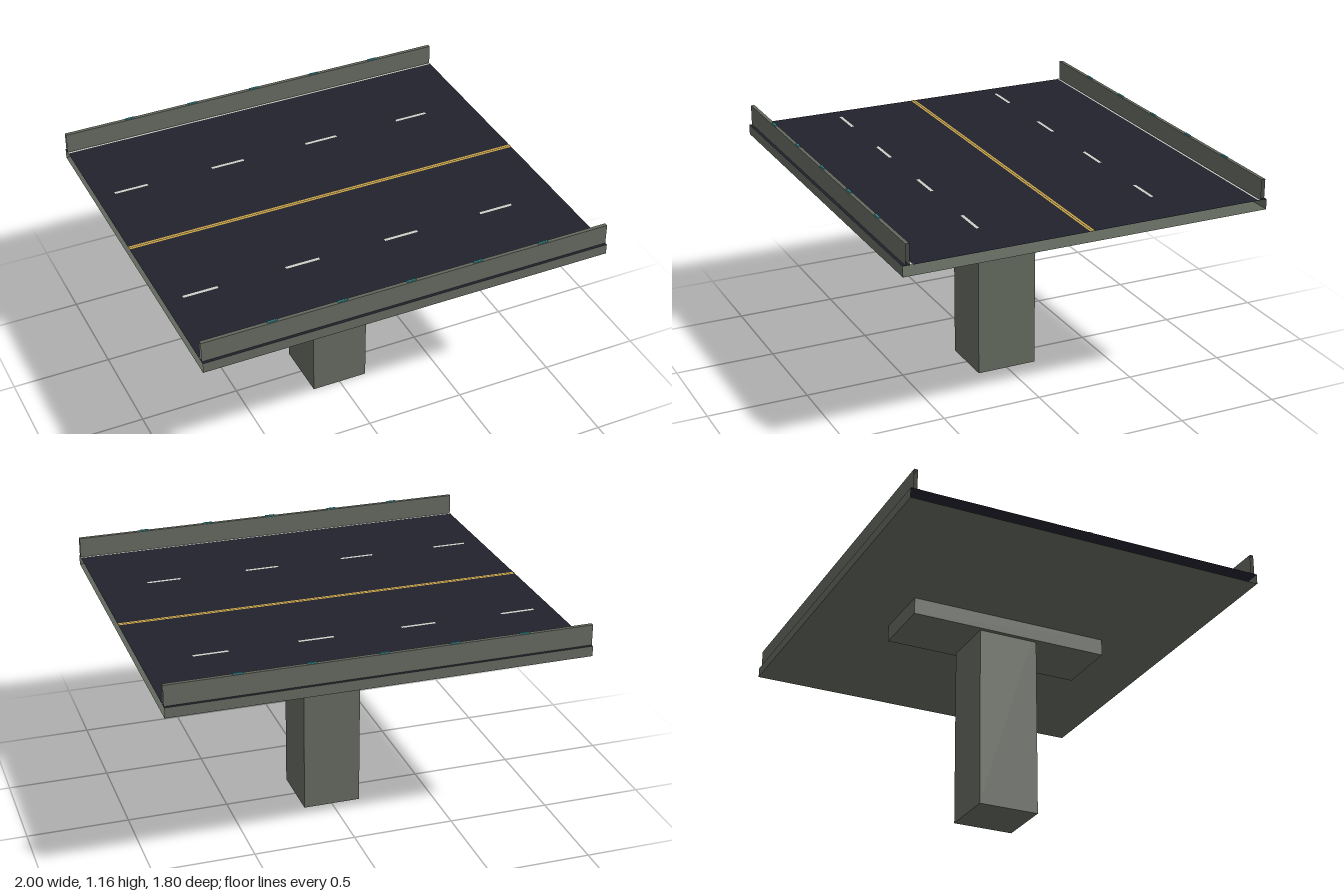
import * as THREE from 'three';

const paint = (name, color) => new THREE.MeshStandardMaterial({ name, color, side: THREE.DoubleSide });

export function createModel() {
  const concrete = paint('concrete', 0x62675d);
  const asphalt = paint('asphalt', 0x22222d);
  const white = paint('whitePaint', 0xc9cec4);
  const yellow = paint('yellowPaint', 0xc4a042);
  const teal = paint('tealReflector', 0x3fa9b0);

  const bridge = new THREE.Group();
  bridge.name = 'bridgeSection';

  const ROAD = 1.05, TOP = 1.15;

  function add(name, geometry, material, x, y, z) {
    const mesh = new THREE.Mesh(geometry, material);
    mesh.name = name;
    mesh.position.set(x, y, z);
    bridge.add(mesh);
    return mesh;
  }

  const box = (name, mat, w, h, d, x, y, z) => add(name, new THREE.BoxGeometry(w, h, d), mat, x, y, z);

  // Flat horizontal sheet facing up or down
  const sheet = (name, mat, w, d, x, y, z, up = true) =>
    add(name, new THREE.PlaneGeometry(w, d).rotateX(up ? -Math.PI / 2 : Math.PI / 2), mat, x, y, z);

  // Upright sheet along the road, facing +z or -z
  const wall = (name, mat, h, y, z, facing) =>
    add(name, new THREE.PlaneGeometry(2, h).rotateY(facing > 0 ? 0 : Math.PI), mat, 0, y, z);

  // Pier and cap beam
  box('pier', concrete, 0.286, 1.0, 0.306, 0, 0.5, 0);
  box('capBeam', concrete, 0.328, 0.084, 1.028, 0, 0.955, 0);

  // Deck shell, open at both ends where the next section joins
  sheet('roadSurface', asphalt, 2, 1.8, 0, ROAD, 0);
  sheet('deckUnderside', concrete, 2, 1.8, 0, 1.0, 0, false);

  for (const s of [1, -1]) {
    wall('deckSide', concrete, 0.05, 1.025, s * 0.9, s);

    // Barrier shell, also open at the ends
    wall('barrierOuterFace', concrete, TOP - ROAD, 1.1, s * 0.886, s);
    wall('barrierInnerFace', concrete, TOP - ROAD, 1.1, s * 0.868, -s);
    sheet('barrierTop', concrete, 2, 0.018, 0, TOP, s * 0.877);

    // Reflectors along the barrier top
    for (let i = -2; i <= 2; i++) {
      box('reflector', teal, 0.046, 0.007, 0.008, i / 3, TOP + 0.002, s * 0.877);
    }

    // Painted lines
    sheet('edgeLine', white, 2, 0.01, 0, ROAD + 0.002, s * 0.859);
    sheet('centreLine', yellow, 2, 0.01, 0, ROAD + 0.002, s * 0.0065);
    for (let i = 0; i < 4; i++) {
      sheet('laneDash', white, 0.168, 0.015, -0.825 + i * 0.499, ROAD + 0.002, s * 0.44);
    }
  }

  return bridge;
}
